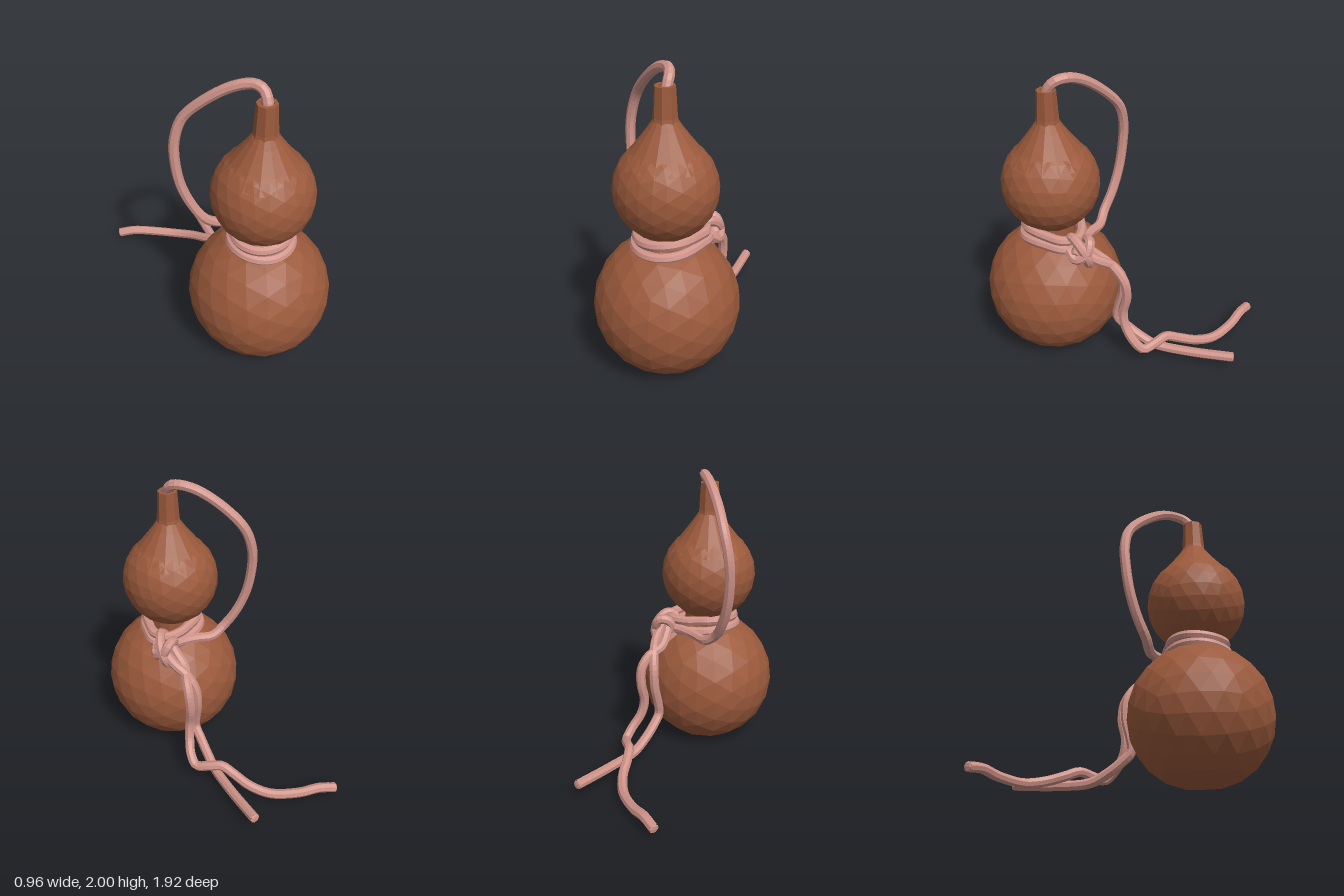
import * as THREE from 'three';

const GOURD_Z = 0.48;
const ROPE_R = 0.034;
const gourdMat = new THREE.MeshStandardMaterial({ color: 0x9c5a3c, flatShading: true });
const ropeMat = new THREE.MeshStandardMaterial({ color: 0xcf9389, flatShading: true });

function add(group, name, geometry, material) {
  const mesh = new THREE.Mesh(geometry, material);
  mesh.name = name;
  group.add(mesh);
  return mesh;
}

// Faceted ball, with anything below floorY pressed flat
function bulb(radius, centreY, floorY) {
  const geo = new THREE.IcosahedronGeometry(radius, 3);
  geo.translate(0, centreY, 0);
  const p = geo.attributes.position;
  for (let i = 0; i < p.count; i++) p.setY(i, Math.max(p.getY(i), floorY));
  geo.computeVertexNormals();
  return geo;
}

const lathe = (profile, sides) =>
  new THREE.LatheGeometry(profile.map(([r, y]) => new THREE.Vector2(r, y)), sides);

// Octagonal cord through the points, with capped ends unless closed
function rope(group, name, points, closed = false) {
  const curve = new THREE.CatmullRomCurve3(points.map((p) => new THREE.Vector3(...p)), closed, 'centripetal');
  add(group, name, new THREE.TubeGeometry(curve, points.length * 4, ROPE_R, 8, closed), ropeMat);
  if (closed) return;
  for (const [t, sign] of [[0, -1], [1, 1]]) {
    const cap = add(group, name + 'End', new THREE.SphereGeometry(ROPE_R * 0.98, 8, 4), ropeMat);
    cap.scale.z = 0.3;
    cap.position.copy(curve.getPoint(t));
    cap.quaternion.setFromUnitVectors(new THREE.Vector3(0, 0, 1), curve.getTangent(t).multiplyScalar(sign));
  }
}

export function createModel() {
  const model = new THREE.Group();
  model.name = 'gourdWithCord';

  // Gourd body
  const gourd = new THREE.Group();
  gourd.name = 'gourd';
  gourd.position.z = GOURD_Z;
  model.add(gourd);
  add(gourd, 'lowerBulb', bulb(0.478, 0.43, 0), gourdMat);
  add(gourd, 'upperBulb', bulb(0.333, 1.24, 0.9), gourdMat);
  add(gourd, 'waist', lathe([[0.2, 0.83], [0.165, 0.88], [0.165, 0.95], [0.2, 0.99]], 16), gourdMat);
  add(gourd, 'shoulder', lathe([[0.28, 1.42], [0.21, 1.5], [0.155, 1.57], [0.11, 1.63], [0.077, 1.68]], 16), gourdMat);
  // Neck with an open mouth
  add(gourd, 'neck', lathe([[0.085, 1.66], [0.077, 1.7], [0.066, 1.89], [0.042, 1.89], [0.036, 1.74], [0, 1.74]], 8), gourdMat);

  const cord = new THREE.Group();
  cord.name = 'cord';
  model.add(cord);

  // Loop from the mouth, over the back and down to the waist
  rope(cord, 'carryLoop', [
    [0, 1.75, 0.48], [0.01, 1.88, 0.475], [0.015, 1.945, 0.43], [-0.01, 1.965, 0.37], [-0.09, 1.935, 0.28],
    [-0.21, 1.82, 0.15], [-0.3, 1.68, 0.05], [-0.345, 1.53, 0.025], [-0.355, 1.4, 0.03], [-0.335, 1.2, 0.055],
    [-0.28, 1.03, 0.1], [-0.21, 0.91, 0.15], [-0.12, 0.85, 0.17], [-0.02, 0.85, 0.22], [0.1, 0.86, 0.25], [0.22, 0.87, 0.25],
  ]);

  // Two turns round the waist, drawn out toward the knot
  [[0.93, 0.185], [0.862, 0.2]].forEach(([y, r], turn) => {
    const points = [];
    for (let i = 0; i < 16; i++) {
      const a = (i / 16) * Math.PI * 2;
      const pull = Math.max(0, Math.cos(a + 0.7)) ** 6 * 0.09;
      points.push([(r + pull) * Math.cos(a), y + 0.01 * Math.sin(2 * a + turn), GOURD_Z + (r + pull) * Math.sin(a)]);
    }
    rope(cord, 'waistTurn', points, true);
  });

  // Knot at the back corner
  rope(cord, 'knotLoop', [
    [0.2, 0.93, 0.33], [0.24, 0.95, 0.3], [0.28, 0.91, 0.25], [0.29, 0.83, 0.2],
    [0.25, 0.765, 0.2], [0.19, 0.77, 0.23], [0.16, 0.85, 0.27],
  ], true);
  rope(cord, 'knotBight', [
    [0.18, 0.87, 0.38], [0.25, 0.86, 0.33], [0.295, 0.82, 0.28], [0.29, 0.86, 0.21],
    [0.25, 0.93, 0.19], [0.19, 0.92, 0.22], [0.17, 0.84, 0.25],
  ]);

  // Straight tail
  rope(cord, 'straightTail', [
    [0.27, 0.88, 0.3], [0.26, 0.84, 0.22], [0.25, 0.79, 0.13], [0.22, 0.74, 0.05], [0.19, 0.64, -0.01], [0.18, 0.5, -0.02],
    [0.17, 0.36, 0.01], [0.17, 0.27, 0.02], [0.18, 0.2, -0.05], [0.2, 0.13, -0.15], [0.225, 0.08, -0.26],
    [0.28, 0.08, -0.5], [0.34, 0.105, -0.8],
  ]);

  // Curling tail, crossing over the straight one
  rope(cord, 'curlingTail', [
    [0.2, 0.9, 0.25], [0.19, 0.82, 0.18], [0.19, 0.76, 0.1], [0.24, 0.72, 0.02], [0.27, 0.64, -0.04],
    [0.27, 0.52, -0.055], [0.26, 0.38, -0.03], [0.28, 0.27, -0.05], [0.32, 0.18, -0.11], [0.33, 0.12, -0.18],
    [0.28, 0.14, -0.26], [0.22, 0.155, -0.33], [0.185, 0.12, -0.42], [0.15, 0.08, -0.54], [0.07, 0.05, -0.67],
    [-0.08, 0.06, -0.8], [-0.2, 0.08, -0.87], [-0.3, 0.065, -0.93],
  ]);

  return model;
}
